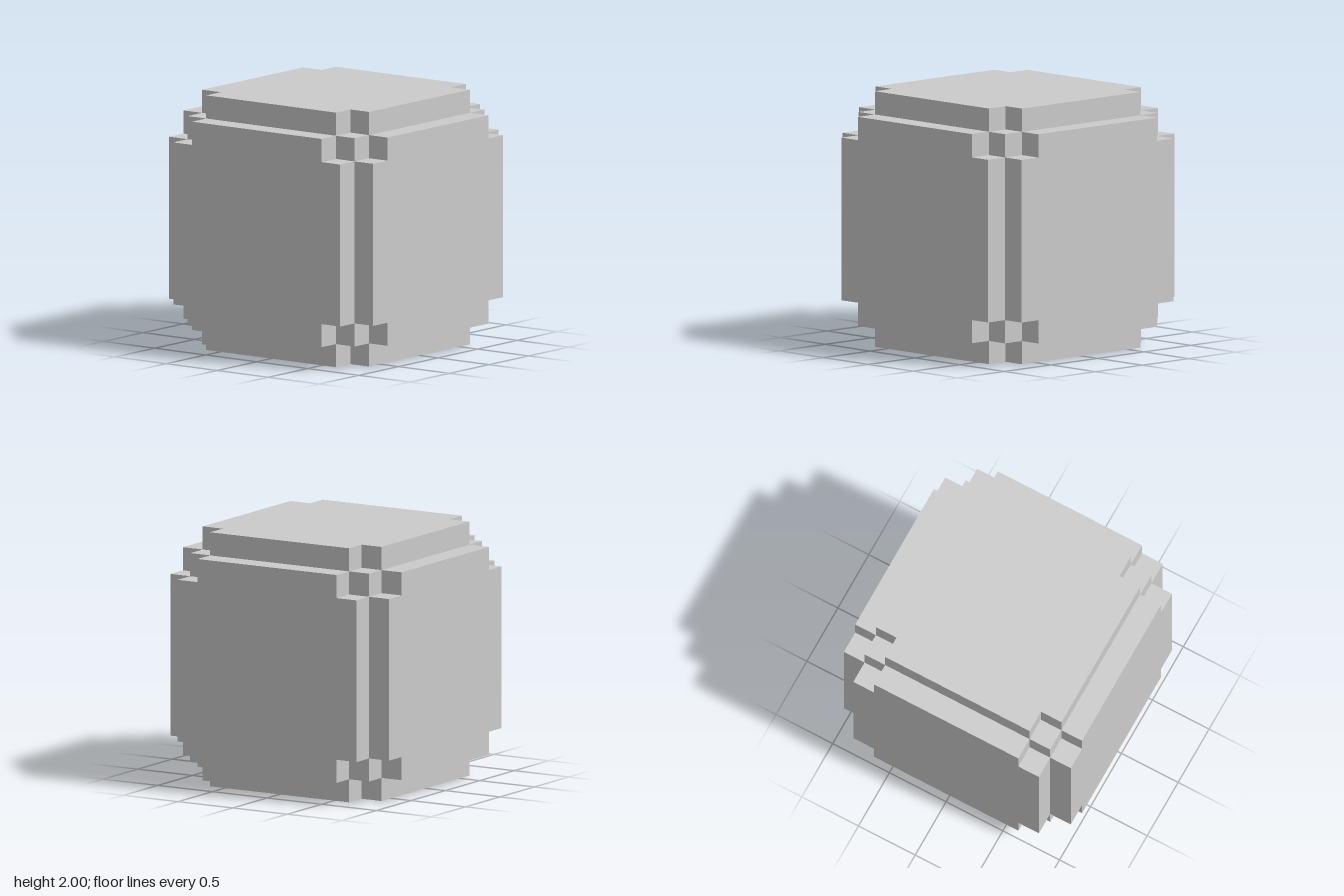
import * as THREE from 'three';

const OUTER = 1;        // outer face of each plate
const CORE = 9 / 11;    // half size of the core cube and of each plate
const NOTCH = 7 / 11;   // where the square corner notch of a plate begins

// Square outline with a square notch cut from each corner
function notchedSquare() {
  const corner = [[CORE, NOTCH], [NOTCH, NOTCH], [NOTCH, CORE]];
  const points = [];
  for (let i = 0; i < 4; i++) {
    for (const [x, y] of corner) {
      points.push(new THREE.Vector2(x, y).rotateAround(new THREE.Vector2(), i * Math.PI / 2));
    }
  }
  return new THREE.Shape(points);
}

export function createModel() {
  const model = new THREE.Group();
  model.name = 'notchedCube';
  const material = new THREE.MeshStandardMaterial({ color: 0xcccccc, flatShading: true });

  // Core cube, showing at the edges and corners between the plates
  const core = new THREE.Mesh(new THREE.BoxGeometry(2 * CORE, 2 * CORE, 2 * CORE), material);
  core.name = 'core';
  core.position.y = OUTER;
  model.add(core);

  // One raised plate on each of the six sides
  const plateGeometry = new THREE.ExtrudeGeometry(notchedSquare(), {
    depth: OUTER - CORE,
    bevelEnabled: false,
  });
  plateGeometry.translate(0, 0, CORE);
  const q = Math.PI / 2;
  const plates = [
    ['frontPlate', 0, 0],
    ['backPlate', 0, 2 * q],
    ['leftPlate', 0, q],
    ['rightPlate', 0, -q],
    ['topPlate', -q, 0],
    ['bottomPlate', q, 0],
  ];
  for (const [name, rx, ry] of plates) {
    const plate = new THREE.Mesh(plateGeometry, material);
    plate.name = name;
    plate.rotation.set(rx, ry, 0);
    plate.position.y = OUTER;
    model.add(plate);
  }
  return model;
}
